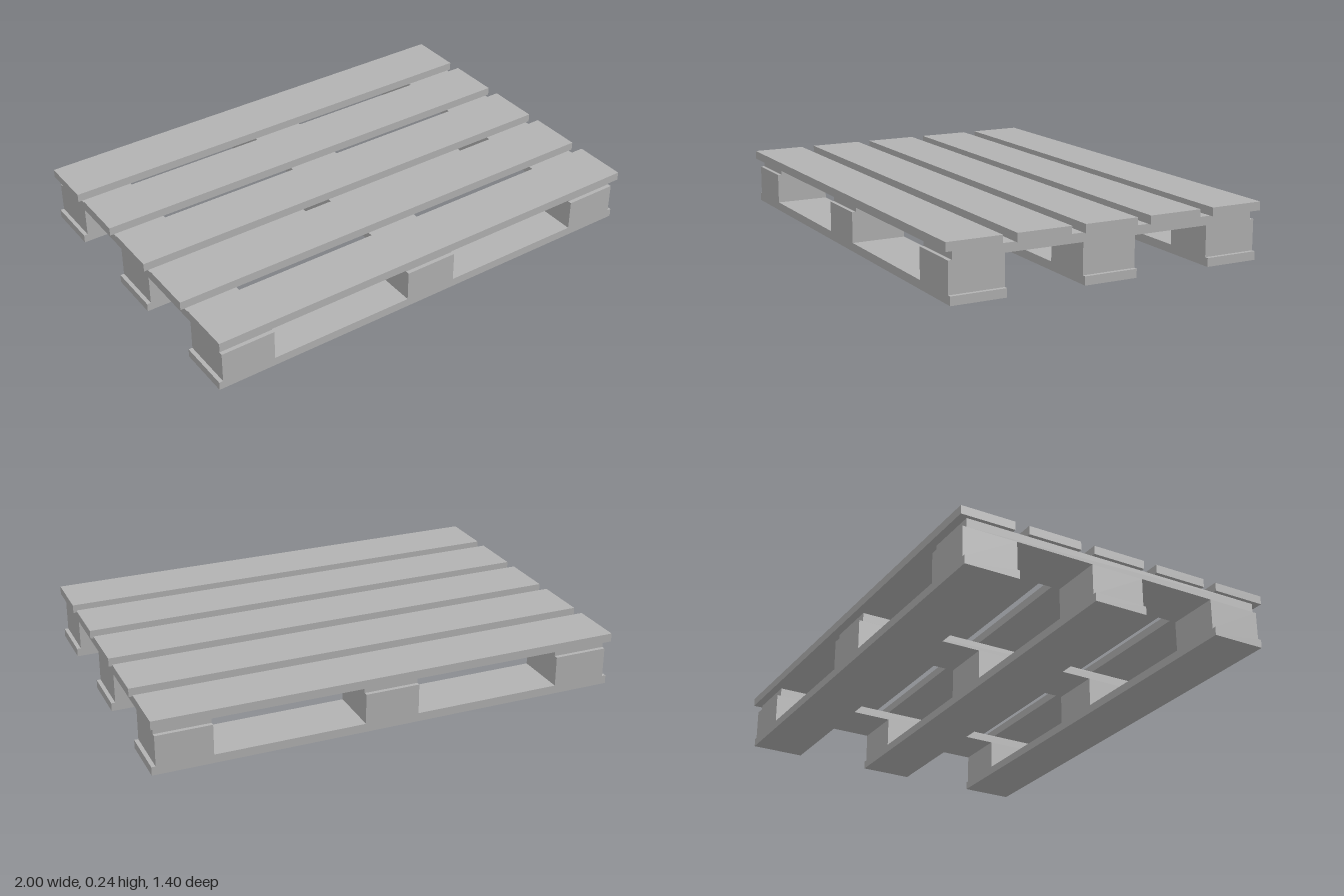
import * as THREE from 'three';

export function createModel() {
  const pallet = new THREE.Group();
  pallet.name = 'pallet';
  const grey = new THREE.MeshStandardMaterial({ color: 0xb2b2b2 });
  grey.name = 'plain grey';

  // Box spanning y0 to y1, centred on x and z
  function addBox(name, width, depth, y0, y1, x, z) {
    const mesh = new THREE.Mesh(new THREE.BoxGeometry(width, y1 - y0, depth), grey);
    mesh.name = name;
    mesh.position.set(x, (y0 + y1) / 2, z);
    pallet.add(mesh);
  }

  const plank = 0.232;
  const bottomTop = 0.036, blockTop = 0.165, stringerTop = 0.202, deckTop = 0.238;
  const columns = [-0.867, 0, 0.867];
  const rows = [-0.567, 0, 0.567];

  // Five deck boards with even gaps
  for (let i = -2; i <= 2; i++) {
    addBox('deckBoard', 2, plank, stringerTop, deckTop, 0, i * 0.292);
  }

  // Cross boards under the deck
  for (const x of columns) addBox('stringerBoard', plank, 1.332, blockTop, stringerTop, x, 0);

  // Bottom runners, each carrying three spacer blocks
  for (const z of rows) {
    addBox('bottomBoard', 2, plank, 0, bottomTop, 0, z);
    for (const x of columns) addBox('spacerBlock', plank, plank, bottomTop, blockTop, x, z);
  }

  return pallet;
}
